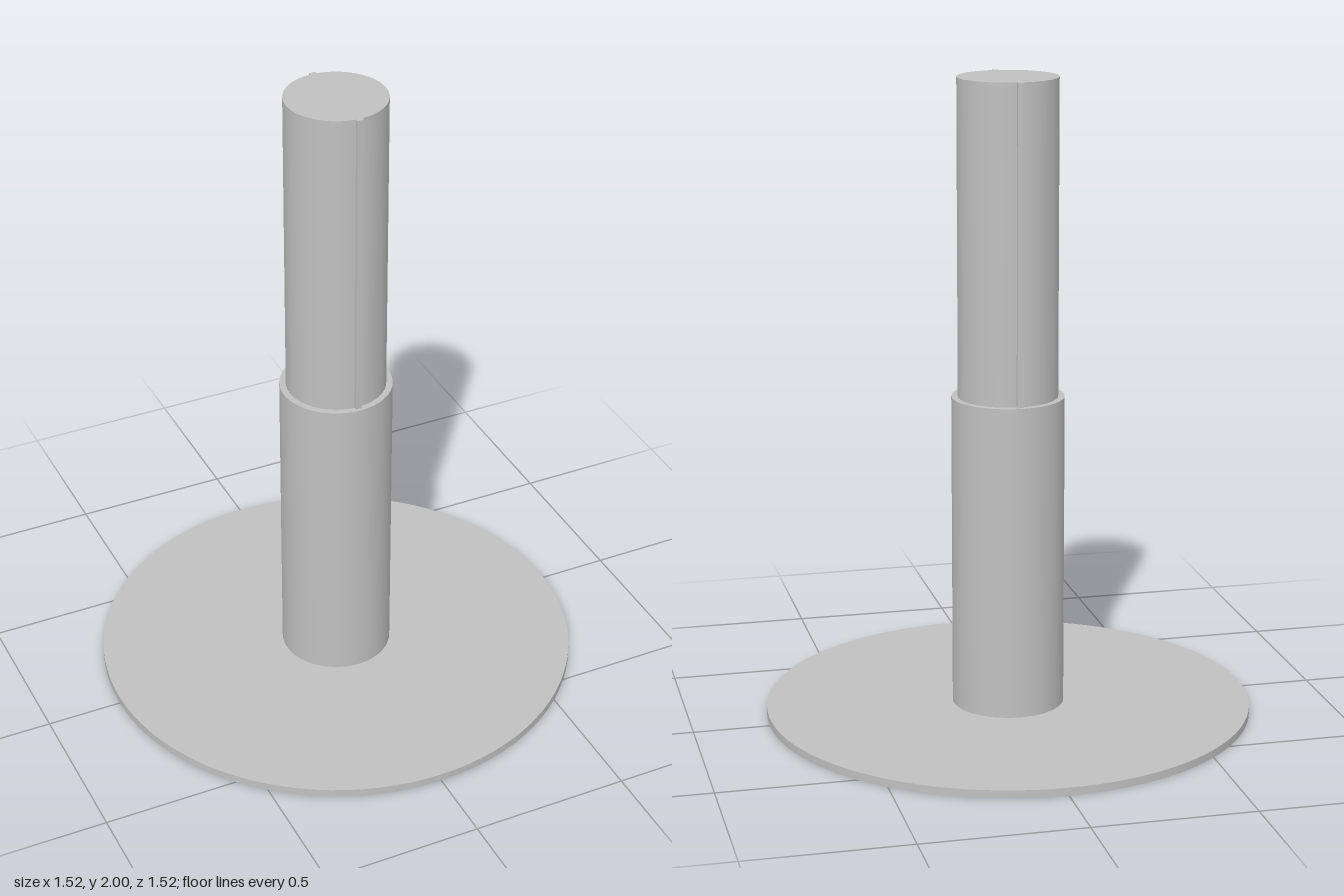
import * as THREE from 'three';

export function createModel() {
  const model = new THREE.Group();
  const grey = new THREE.MeshStandardMaterial({ color: 0xc0c0c0 });
  grey.name = 'light grey';

  const add = (name, geometry, y) => {
    const mesh = new THREE.Mesh(geometry, grey);
    mesh.name = name;
    mesh.position.y = y;
    model.add(mesh);
    return mesh;
  };

  // Upright cylinder between two heights
  const cylinder = (name, radius, y0, y1, open = false) =>
    add(name, new THREE.CylinderGeometry(radius, radius, y1 - y0, 96, 1, open), (y0 + y1) / 2);

  const baseTop = 0.025, sleeveTop = 1.015, top = 2;

  cylinder('basePlate', 0.762, 0, baseTop);
  cylinder('lowerSleeve', 0.175, baseTop, sleeveTop);
  cylinder('upperShaft', 0.155, sleeveTop, top);

  // Narrow key ribs along the front and back of the shaft
  for (const [name, side] of [['frontRib', 1], ['backRib', -1]]) {
    const rib = add(name, new THREE.BoxGeometry(0.02, top - sleeveTop, 0.02), (top + sleeveTop) / 2);
    rib.position.z = side * 0.155;
  }
  return model;
}
